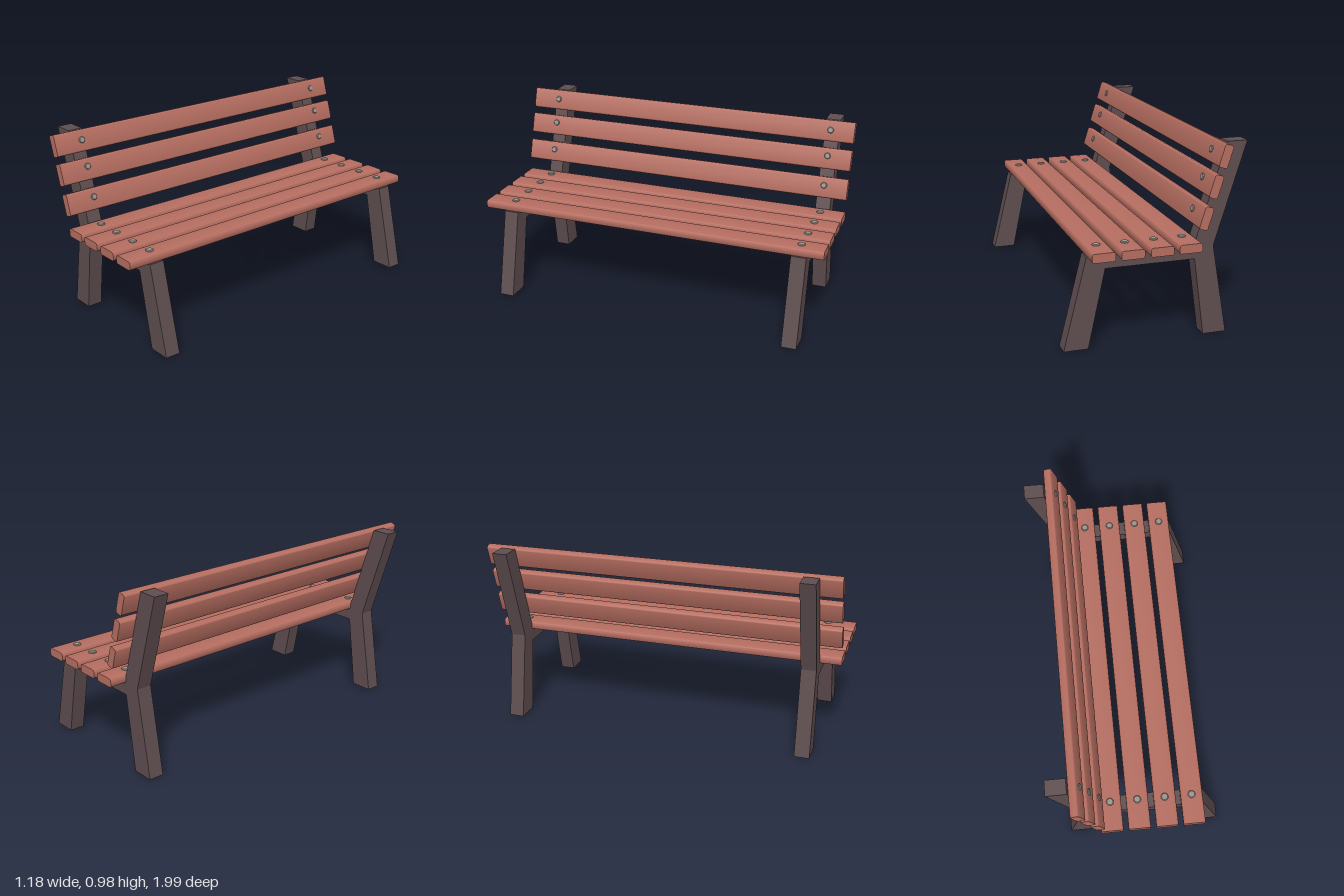
import * as THREE from 'three';
import { toCreasedNormals } from 'three/addons/utils/BufferGeometryUtils.js';

const wood = new THREE.MeshStandardMaterial({ color: 0xb56d60 });
const iron = new THREE.MeshStandardMaterial({ color: 0x5e4d4f });
const steel = new THREE.MeshStandardMaterial({ color: 0x999590 });

const TILT = Math.atan(0.31);        // lean of the backrest
const FRAMES = [0.796, -0.827];      // positions of the two end frames
const SLAT_LENGTH = 1.905;
const SLAT_THICKNESS = 0.045;

// Plank with rounded long edges and flat ends, running along z
function slatGeometry(w, h, r) {
  const x = w / 2, y = h / 2;
  const s = new THREE.Shape();
  s.moveTo(-x + r, -y);
  s.lineTo(x - r, -y);
  s.absarc(x - r, -y + r, r, -Math.PI / 2, 0);
  s.lineTo(x, y - r);
  s.absarc(x - r, y - r, r, 0, Math.PI / 2);
  s.lineTo(-x + r, y);
  s.absarc(-x + r, y - r, r, Math.PI / 2, Math.PI);
  s.lineTo(-x, -y + r);
  s.absarc(-x + r, -y + r, r, Math.PI, Math.PI * 1.5);
  const g = new THREE.ExtrudeGeometry(s, { depth: SLAT_LENGTH, bevelEnabled: false, curveSegments: 5 });
  g.translate(0, 0, -SLAT_LENGTH / 2 - 0.003);
  return toCreasedNormals(g, 0.6);
}

// Low bolt head with a chamfered rim, resting on y = 0
function boltGeometry(r) {
  const points = [[r, -0.004], [r, 0.003], [r * 0.8, 0.007], [0, 0.008]];
  const g = new THREE.LatheGeometry(points.map(([x, y]) => new THREE.Vector2(x, y)), 16);
  return toCreasedNormals(g, 0.5);
}

function add(parent, name, geometry, material, x = 0, y = 0, z = 0) {
  const mesh = new THREE.Mesh(geometry, material);
  mesh.name = name;
  mesh.position.set(x, y, z);
  parent.add(mesh);
  return mesh;
}

export function createModel() {
  const model = new THREE.Group();
  model.name = 'bench';
  const body = new THREE.Group();
  body.name = 'benchBody';
  body.rotation.y = -0.159;
  model.add(body);

  // End frames: back leg, backrest post, seat rail and front leg in one profile
  const profile = [
    [-0.383, 0], [-0.262, 0], [-0.207, 0.4], [0.248, 0.4], [0.332, 0], [0.455, 0],
    [0.341, 0.463], [-0.2, 0.463], [-0.358, 0.972], [-0.463, 0.972], [-0.303, 0.46],
  ].map(([x, y]) => new THREE.Vector2(x, y));
  const frameGeo = new THREE.ExtrudeGeometry(new THREE.Shape(profile), { depth: 0.08, bevelEnabled: false });
  frameGeo.translate(0, 0, -0.04);
  for (const z of FRAMES) add(body, 'endFrame', frameGeo, iron, 0, 0, z);

  // Seat slats with a bolt over each frame
  const seatGeo = slatGeometry(0.116, SLAT_THICKNESS, 0.012);
  const seatBolt = boltGeometry(0.02);
  for (const x of [-0.152, -0.008, 0.138, 0.281]) {
    add(body, 'seatSlat', seatGeo, wood, x, 0.4855);
    for (const z of FRAMES) add(body, 'seatBolt', seatBolt, steel, x, 0.508, z);
  }

  // Backrest slats leaning with the posts: x, y, bolt offset up the slat
  const backGeo = slatGeometry(SLAT_THICKNESS, 0.114, 0.012);
  const backBolt = boltGeometry(0.017);
  backBolt.rotateZ(-Math.PI / 2);
  for (const [x, y, up] of [[-0.316, 0.921, 0.003], [-0.271, 0.778, 0.014], [-0.226, 0.627, 0.011]]) {
    const row = new THREE.Group();
    row.name = 'backrestRow';
    row.position.set(x, y, 0);
    row.rotation.z = TILT;
    body.add(row);
    add(row, 'backSlat', backGeo, wood);
    for (const z of FRAMES) add(row, 'backBolt', backBolt, steel, SLAT_THICKNESS / 2, up, z);
  }
  return model;
}
